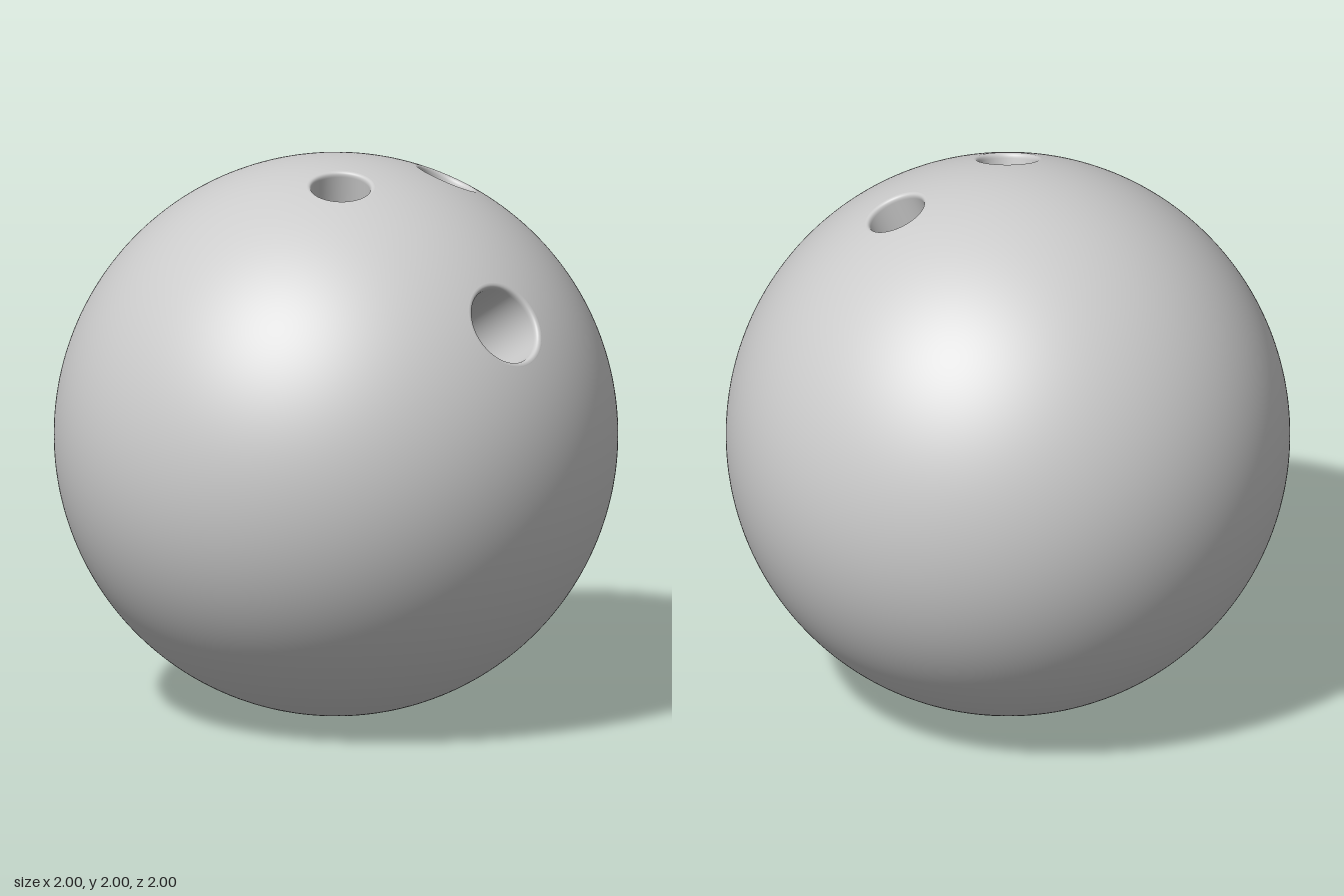
import * as THREE from 'three';

// Bores: axis from the ball's centre, bore radius, outer radius of the rounded lip
const HOLES = [
  { name: 'leftFingerHole', axis: [0.355, 0.9, 0.187], bore: 0.105, lip: 0.123, depth: 0.55 },
  { name: 'rightFingerHole', axis: [-0.157, 0.945, 0.2], bore: 0.105, lip: 0.123, depth: 0.55 },
  { name: 'thumbHole', axis: [0.06, 0.524, 0.82], bore: 0.143, lip: 0.164, depth: 0.6 },
].map(h => ({ ...h, axis: new THREE.Vector3(...h.axis).normalize() }));

// Unit sphere with a clean circular opening at every hole
function shellGeometry() {
  const src = new THREE.IcosahedronGeometry(1, 62).getAttribute('position');
  const out = [];
  const tri = [new THREE.Vector3(), new THREE.Vector3(), new THREE.Vector3()];
  for (let i = 0; i < src.count; i += 3) {
    tri.forEach((v, k) => v.fromBufferAttribute(src, i + k).normalize());
    let keep = true;
    for (const { axis, lip } of HOLES) {
      const rimCos = Math.sqrt(1 - lip * lip);
      const inside = tri.filter(v => v.dot(axis) > rimCos);
      if (inside.length === 3) { keep = false; break; }
      // slide inner corners outward onto the rim circle
      for (const v of inside) {
        v.addScaledVector(axis, -v.dot(axis)).setLength(lip).addScaledVector(axis, rimCos);
      }
    }
    if (keep) tri.forEach(v => out.push(v.x, v.y, v.z));
  }
  const geo = new THREE.BufferGeometry();
  geo.setAttribute('position', new THREE.Float32BufferAttribute(out, 3));
  geo.setAttribute('normal', new THREE.Float32BufferAttribute(out, 3));
  return geo;
}

// Rounded lip, straight wall and flat floor, turned around the y axis
function boreGeometry({ bore, lip, depth }) {
  const onSphere = r => Math.sqrt(1 - r * r);
  const top = onSphere(lip);
  const round = lip - bore;
  const curve = new THREE.QuadraticBezierCurve(
    new THREE.Vector2(lip, top),
    new THREE.Vector2(bore, top + round * lip / top),
    new THREE.Vector2(bore, top - round));
  const floor = 1 - depth;
  const points = [
    new THREE.Vector2(lip + 0.006, onSphere(lip + 0.006) - 0.001), // tucked under the shell
    ...curve.getPoints(10),
    new THREE.Vector2(bore, floor),
    new THREE.Vector2(bore, floor), // doubled for a sharp corner
    new THREE.Vector2(0, floor),
  ];
  return new THREE.LatheGeometry(points, 64);
}

export function createModel() {
  const model = new THREE.Group();
  model.name = 'ball';
  const material = new THREE.MeshStandardMaterial({ color: 0xcccccc });

  const shell = new THREE.Mesh(shellGeometry(), material);
  shell.name = 'shell';
  shell.position.y = 1;
  model.add(shell);

  const up = new THREE.Vector3(0, 1, 0);
  for (const hole of HOLES) {
    const mesh = new THREE.Mesh(boreGeometry(hole), material);
    mesh.name = hole.name;
    mesh.quaternion.setFromUnitVectors(up, hole.axis);
    mesh.position.y = 1;
    model.add(mesh);
  }
  return model;
}
